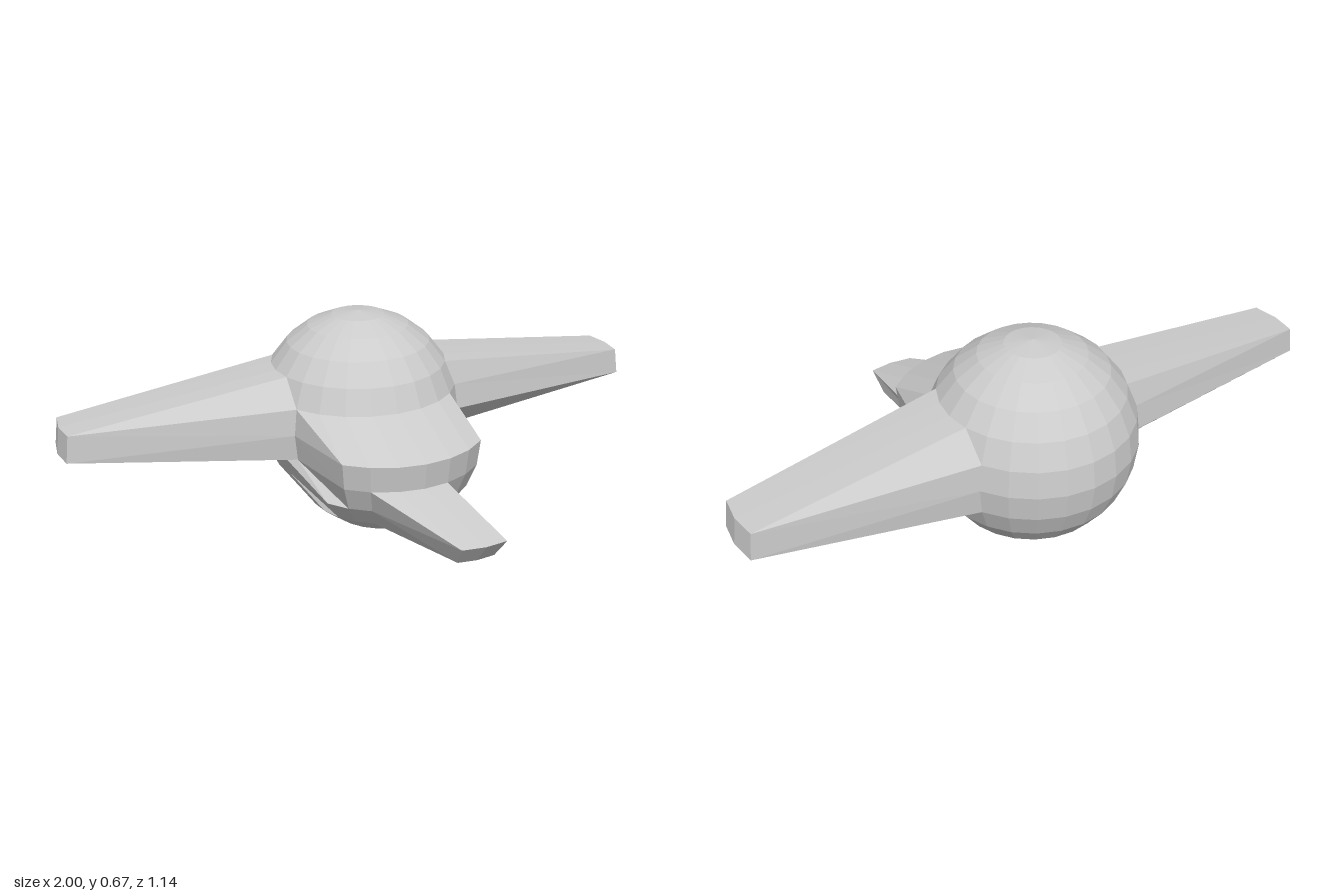
import * as THREE from 'three';

const R = 0.336;
const CENTRE = [0.0125, 0.336, -0.234];

// Pulls regions of a unit ball outward; returns the shift for one vertex.
function pull(x, y, z) {
  const shift = new THREE.Vector3();
  // side wings: small patch on each flank
  if (Math.abs(x) > 0.9 && y > -0.01) {
    shift.x = x > 0 ? 1 - CENTRE[0] - R : R - CENTRE[0] - 1;
  }
  // jaw: lower front quarter slides forward
  if (y < 0.001 && z > -0.001 && x > -0.751 && x < 0.749) shift.z += 0.2;
  // beak: patch low on the front, slightly off centre
  if (y < -0.49 && y > -0.72 && z > 0 && Math.abs(x) < 0.23) {
    shift.x += 0.0675;
    shift.z += 0.313;
  }
  return shift;
}

export function createModel() {
  const group = new THREE.Group();
  group.name = 'wingedBall';

  const geometry = new THREE.SphereGeometry(1, 24, 12);
  const pos = geometry.attributes.position;
  for (let i = 0; i < pos.count; i++) {
    const v = new THREE.Vector3().fromBufferAttribute(pos, i);
    const shift = pull(v.x, v.y, v.z);
    v.multiplyScalar(R).add(shift);
    pos.setXYZ(i, v.x, v.y, v.z);
  }
  geometry.computeVertexNormals();

  const body = new THREE.Mesh(
    geometry,
    new THREE.MeshStandardMaterial({ color: 0xcccccc, flatShading: true })
  );
  body.name = 'bodyWithWingsAndBeak';
  body.position.set(...CENTRE);
  group.add(body);
  return group;
}
